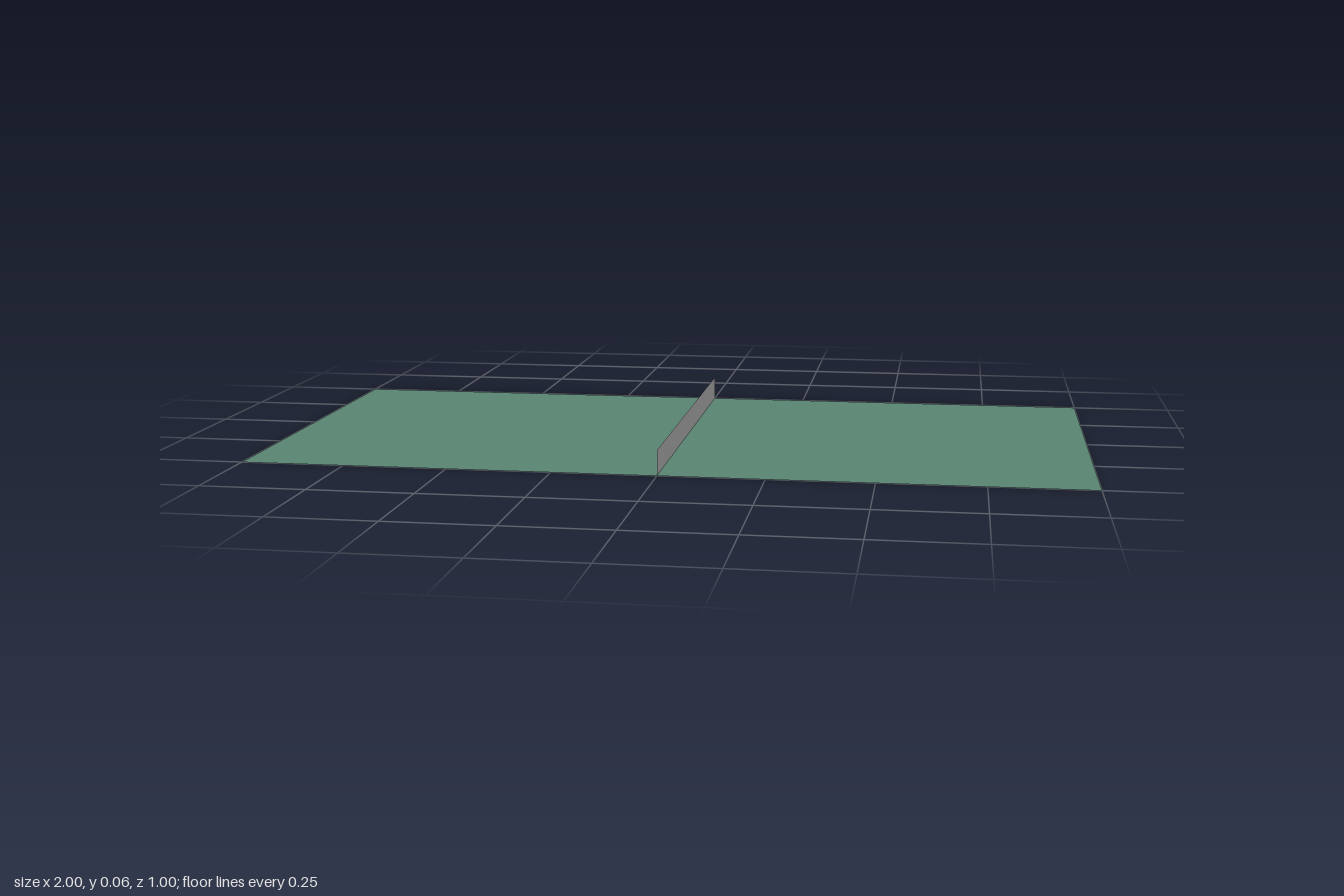
import * as THREE from 'three';

const LENGTH = 2, WIDTH = 1, NET_HEIGHT = 0.06;

// Thin sheet, visible from both sides
function sheet(name, width, height, color) {
  const material = new THREE.MeshStandardMaterial({ color, side: THREE.DoubleSide });
  const mesh = new THREE.Mesh(new THREE.PlaneGeometry(width, height), material);
  mesh.name = name;
  return mesh;
}

export function createModel() {
  const group = new THREE.Group();
  group.name = 'tableWithNet';

  // Flat green playing surface
  const surface = sheet('playingSurface', LENGTH, WIDTH, 0x5a8673);
  surface.rotation.x = -Math.PI / 2;
  group.add(surface);

  // Upright net across the middle
  const net = sheet('net', WIDTH, NET_HEIGHT, 0xcccccc);
  net.rotation.y = Math.PI / 2;
  net.position.y = NET_HEIGHT / 2;
  group.add(net);

  return group;
}
